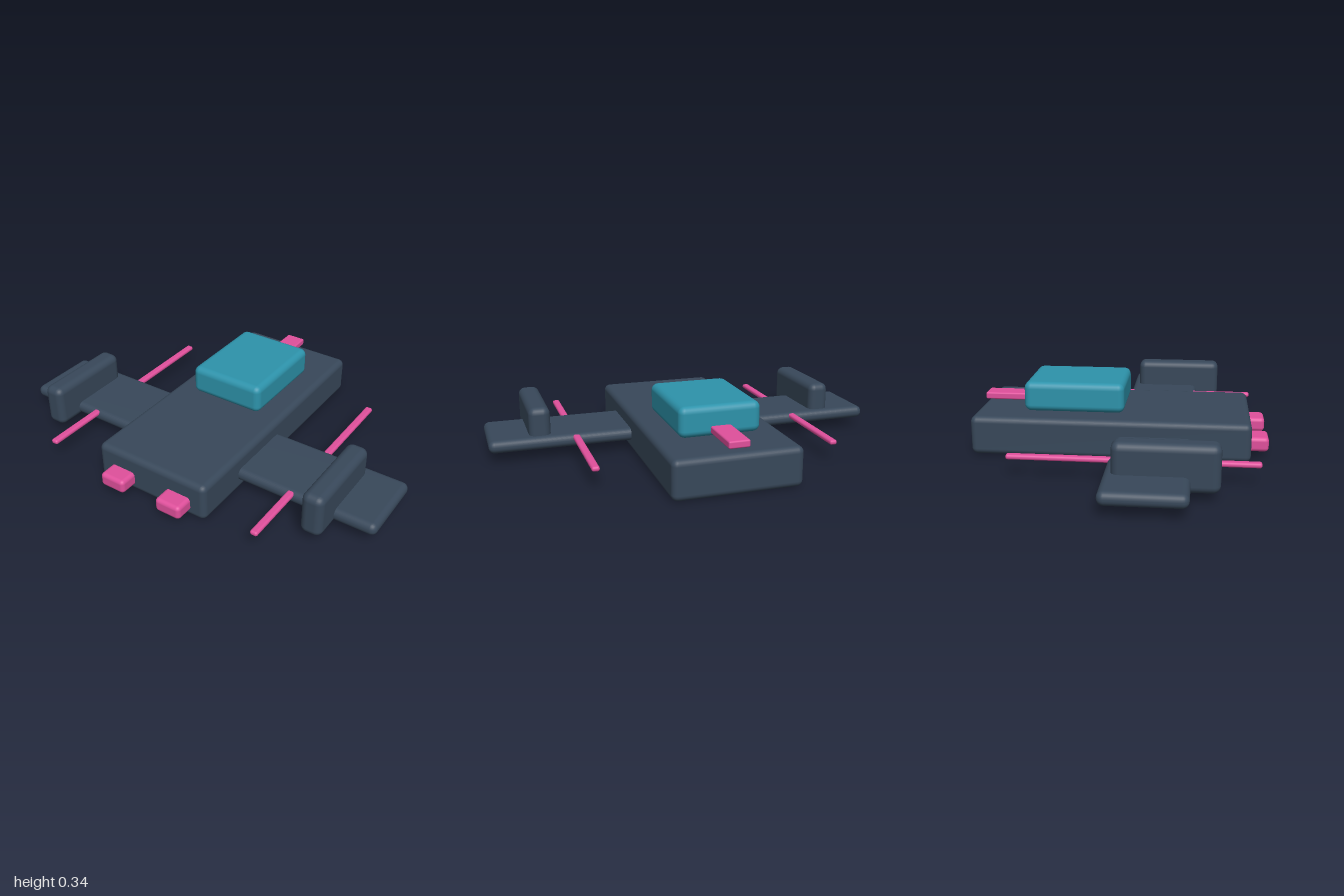
import * as THREE from 'three';
import { RoundedBoxGeometry } from 'three/addons/geometries/RoundedBoxGeometry.js';

export function createModel() {
  const model = new THREE.Group();
  model.name = 'spacecraft';

  const dark = new THREE.MeshStandardMaterial({ color: 0x38485a });
  const teal = new THREE.MeshStandardMaterial({ color: 0x2d93ab });
  const pink = new THREE.MeshStandardMaterial({ color: 0xe0509c });

  // Rounded block given by its [min, max] extent on each axis
  function block(name, material, [x0, x1], [y0, y1], [z0, z1], radius) {
    const geometry = new RoundedBoxGeometry(x1 - x0, y1 - y0, z1 - z0, 3, radius);
    const mesh = new THREE.Mesh(geometry, material);
    mesh.name = name;
    mesh.position.set((x0 + x1) / 2, (y0 + y1) / 2, (z0 + z1) / 2);
    model.add(mesh);
  }

  // Body, wing running through it, and cockpit on top
  block('hull', dark, [-0.305, 0.305], [0, 0.19], [-0.72, 0.63], 0.03);
  block('wing', dark, [-1, 1], [0.052, 0.115], [-0.015, 0.355], 0.03);
  block('cockpit', teal, [-0.197, 0.197], [0.193, 0.34], [-0.475, 0.017], 0.033);

  // Bar projecting behind the cockpit
  block('rearBar', pink, [-0.05, 0.05], [0.21, 0.245], [-0.705, -0.42], 0.008);

  // Mirrored parts
  for (const [side, s] of [['left', 1], ['right', -1]]) {
    const span = (a, b) => (s > 0 ? [a, b] : [-b, -a]);
    block(side + 'WingPod', dark, span(0.696, 0.802), [0.038, 0.252], [0.02, 0.48], 0.035);
    block(side + 'Rod', pink, span(0.56, 0.597), [0.087, 0.111], [-0.475, 0.66], 0.011);
    block(side + 'FrontLamp', pink, span(0.092, 0.228), [0.033, 0.104], [0.55, 0.717], 0.02);
  }
  return model;
}
